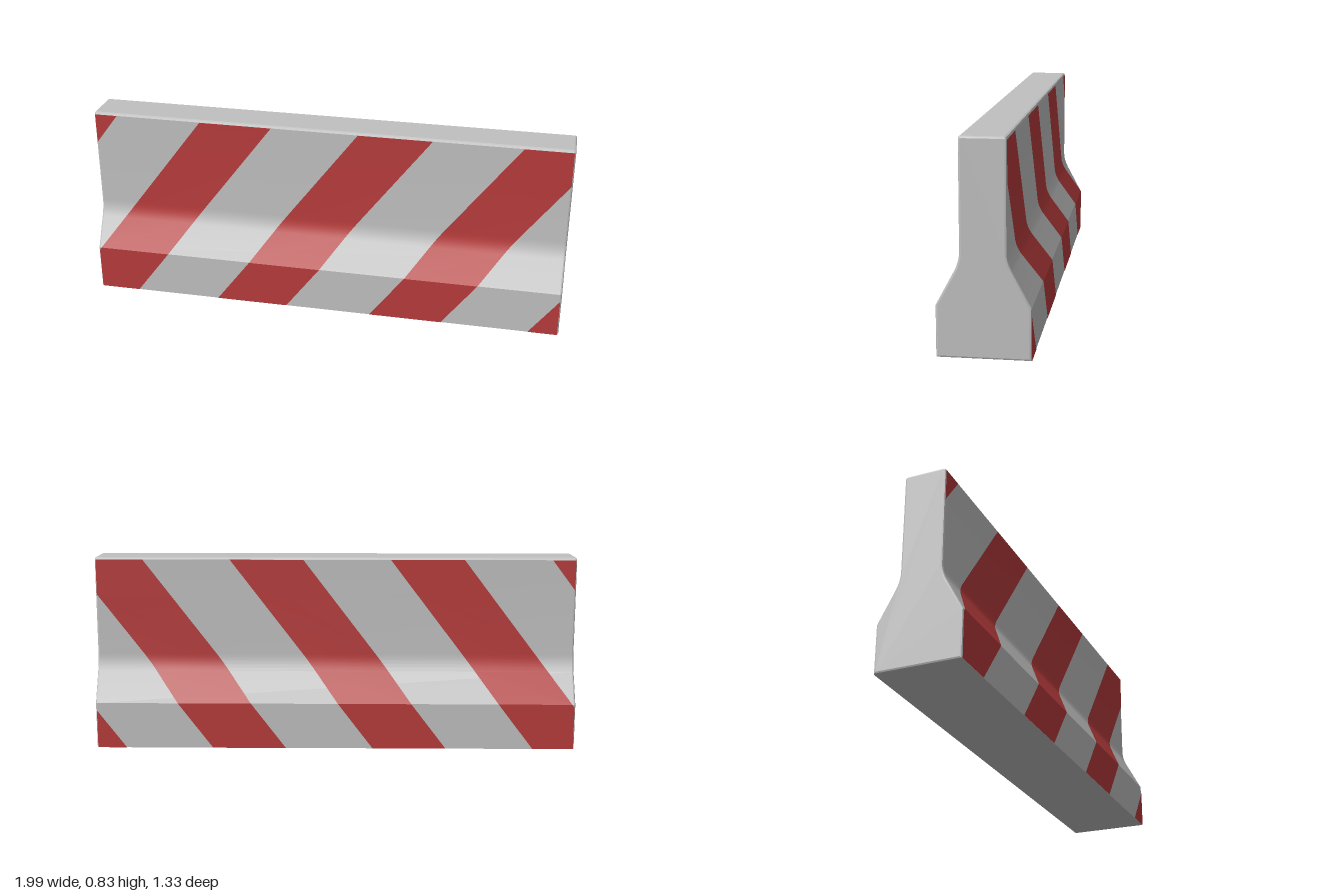
import * as THREE from 'three';
import { toCreasedNormals } from 'three/addons/utils/BufferGeometryUtils.js';

const LENGTH = 2.094, HEIGHT = 0.83, BEVEL = 0.008;
const FOOT = 0.178, WALL = 0.088;          // half widths
const TURN = THREE.MathUtils.degToRad(29.3);
const CREASE = 0.3;

// Heights of the profile points: foot, ramp, soft bend, wall
const LEVELS = [0, 0.2, 0.33, 0.345, 0.36, 0.375, 0.39, 0.406, HEIGHT - 0.01];

// Half width of the barrier at height y
function halfWidth(y) {
  if (y <= 0.2) return FOOT;
  if (y <= 0.33) return FOOT - (y - 0.2) * 0.536;
  if (y <= 0.406) return WALL + 3.53 * (0.406 - y) ** 2;
  return WALL;
}

// Solid body: cross-section run along the length, with softened ends
function makeBody(material) {
  const side = LEVELS.map(y => new THREE.Vector2(halfWidth(y), y));
  side.push(new THREE.Vector2(WALL - 0.003, HEIGHT - 0.003), new THREE.Vector2(WALL - 0.01, HEIGHT));
  const mirrored = side.map(p => new THREE.Vector2(-p.x, p.y)).reverse();
  const depth = LENGTH - 2 * BEVEL;
  let geo = new THREE.ExtrudeGeometry(new THREE.Shape([...side, ...mirrored]), {
    depth, steps: 1, bevelEnabled: true, bevelSize: BEVEL, bevelThickness: BEVEL,
    bevelOffset: -BEVEL, bevelSegments: 2,
  });
  geo.translate(0, 0, -depth / 2);
  geo.rotateY(Math.PI / 2);
  geo = toCreasedNormals(geo, CREASE);
  const mesh = new THREE.Mesh(geo, material);
  mesh.name = 'barrierBody';
  return mesh;
}

// One slanted painted band that follows the side profile; face is +1 front, -1 back
function makeStripe(start, face, material) {
  const width = 0.32, slant = 0.76, end = LENGTH / 2 - BEVEL * 0.6, lift = 0.0015;
  const left = y => THREE.MathUtils.clamp(start + slant * y, -end, end);
  const right = y => THREE.MathUtils.clamp(start + width + slant * y, -end, end);
  // extra rows where the band meets the ends of the barrier
  const rows = [...LEVELS];
  for (const u of [start, start + width])
    for (const e of [-end, end]) {
      const y = (e - u) / slant;
      if (y > 0.002 && y < HEIGHT - 0.012) rows.push(y);
    }
  rows.sort((a, b) => a - b);

  const points = [];
  const at = (u, y) => [u, y, face * (halfWidth(y) + lift)];
  for (let i = 0; i < rows.length - 1; i++) {
    const y0 = rows[i], y1 = rows[i + 1], mid = (y0 + y1) / 2;
    if (right(mid) - left(mid) < 1e-4) continue;
    const a = at(left(y0), y0), b = at(right(y0), y0);
    const c = at(right(y1), y1), d = at(left(y1), y1);
    const tris = face > 0 ? [a, b, c, a, c, d] : [a, c, b, a, d, c];
    points.push(...tris.flat());
  }
  let geo = new THREE.BufferGeometry();
  geo.setAttribute('position', new THREE.Float32BufferAttribute(points, 3));
  geo = toCreasedNormals(geo, CREASE);
  const mesh = new THREE.Mesh(geo, material);
  mesh.name = face > 0 ? 'frontStripe' : 'backStripe';
  return mesh;
}

export function createModel() {
  const concrete = new THREE.MeshStandardMaterial({ color: 0xc0c0c0 });
  concrete.name = 'concreteGrey';
  const red = new THREE.MeshStandardMaterial({ color: 0xb83c3c });
  red.name = 'warningRed';

  const barrier = new THREE.Group();
  barrier.name = 'roadBarrier';
  barrier.add(makeBody(concrete));

  // Evenly spaced stripes on both long sides
  for (const face of [1, -1])
    for (let i = -2; i <= 2; i++) barrier.add(makeStripe(-0.485 + i * 0.7, face, red));

  // The barrier stands at an angle
  barrier.rotation.y = TURN;
  const model = new THREE.Group();
  model.name = 'model';
  model.add(barrier);
  return model;
}
